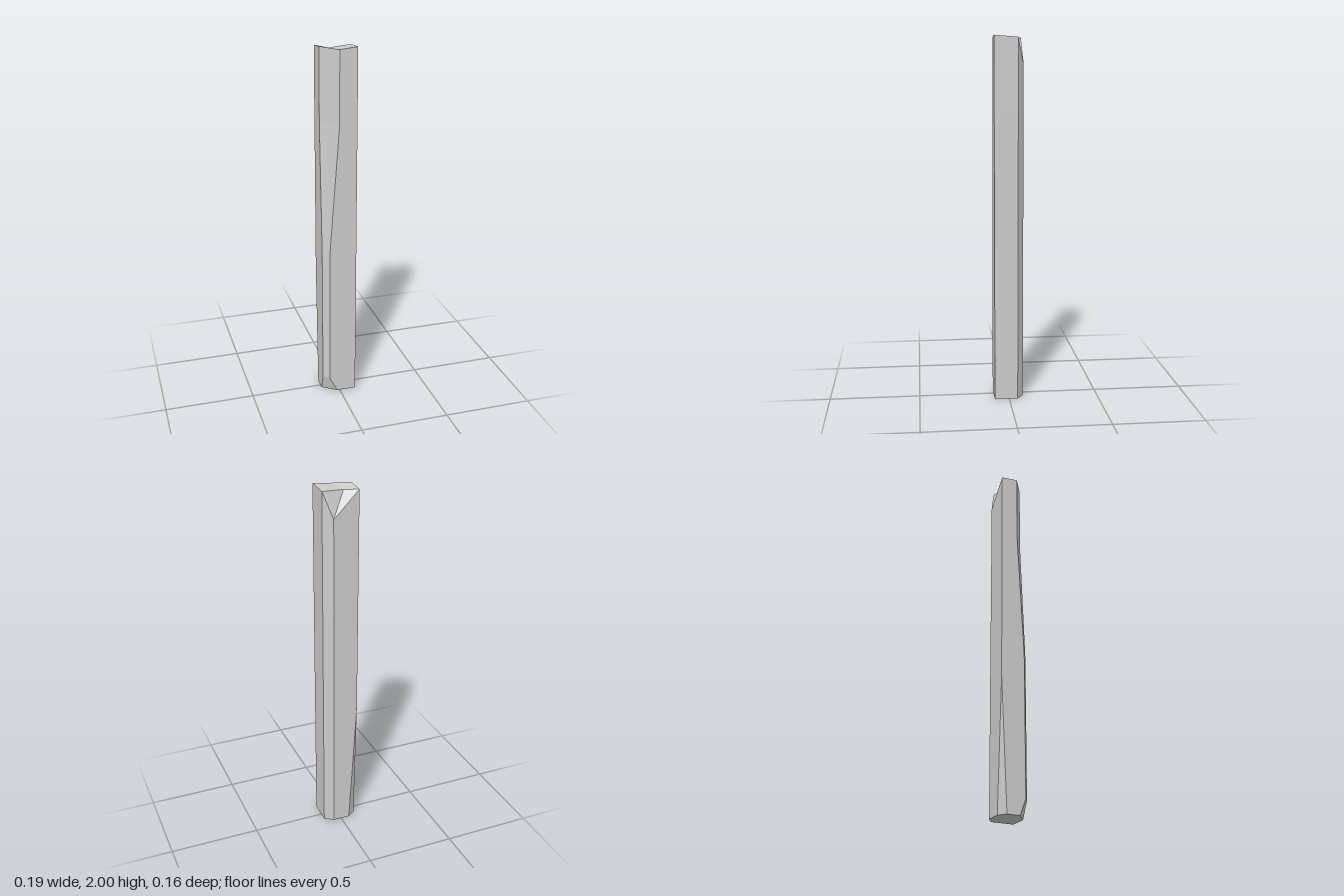
import * as THREE from 'three';

const X = 0.094, Z = 0.081;

// Cross-section of the post, counter-clockwise from above.
// f: size of the front chamfer, b: size of the back chamfer on the same side
function section(y, f, b) {
  return [
    [-X + f, Z], [X, Z], [X, -0.047], [0.045, -Z],
    [-X + b, -Z], [-X, -Z + 0.72 * b], [-X, Z - 0.72 * f],
  ].map(([x, z]) => new THREE.Vector3(x, y, z));
}

export function createModel() {
  const rings = [
    section(0, 0.079, 0.044),
    section(0.09, 0.034, 0.0386),
    section(0.74, 0.036, 0),
    section(0.88, 0.037, 0),
    section(1.6, 0.091, 0),
    section(2, 0.091, 0),
  ];
  // Chipped, uneven top rim
  const top = rings[rings.length - 1];
  [1.99, 2, 1.99, 1.85, 1.99, 1.99, 2].forEach((y, i) => { top[i].y = y; });
  const topCentre = new THREE.Vector3(-0.03, 1.982, -0.028);
  const bottomCentre = new THREE.Vector3(0, 0, 0);

  const positions = [];
  const tri = (...pts) => pts.forEach((p) => positions.push(p.x, p.y, p.z));
  const n = top.length;
  for (let i = 0; i < n; i++) {
    const j = (i + 1) % n;
    // Sides
    for (let r = 0; r < rings.length - 1; r++) {
      const lo = rings[r], up = rings[r + 1];
      tri(lo[i], lo[j], up[j]);
      tri(lo[i], up[j], up[i]);
    }
    // Caps
    tri(topCentre, top[i], top[j]);
    tri(bottomCentre, rings[0][j], rings[0][i]);
  }

  const geometry = new THREE.BufferGeometry();
  geometry.setAttribute('position', new THREE.Float32BufferAttribute(positions, 3));
  geometry.computeVertexNormals();

  const post = new THREE.Mesh(
    geometry,
    new THREE.MeshStandardMaterial({ color: 0xcccccc, flatShading: true }),
  );
  post.name = 'post';

  const group = new THREE.Group();
  group.name = 'woodenPost';
  group.add(post);
  return group;
}
